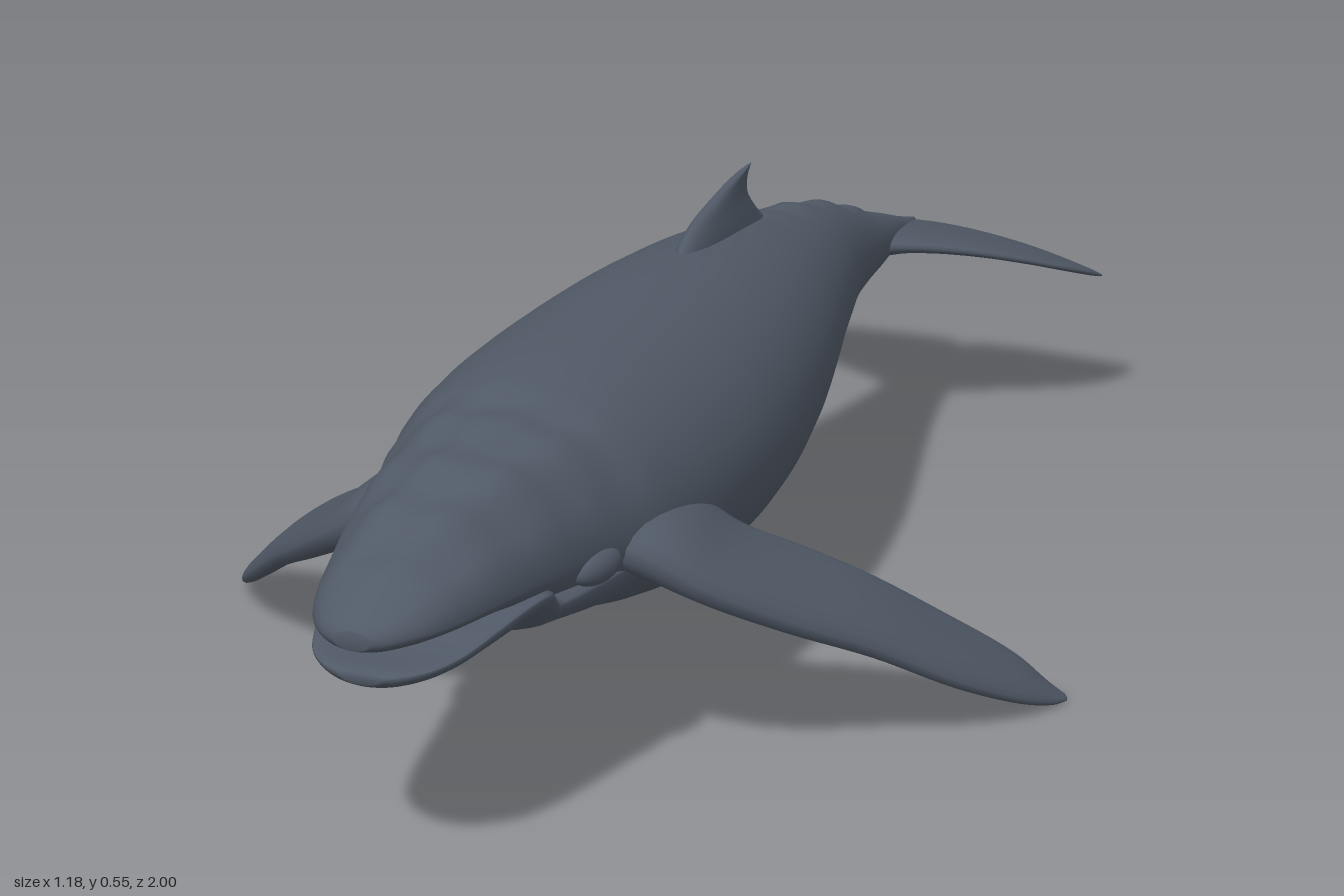
import * as THREE from 'three';

const V = (x, y, z) => new THREE.Vector3(x, y, z);

// Smooth closed skin through a list of equal-sized rings, with both ends capped.
function loft(rings, steps, warp) {
  const n = rings[0].length, pos = [], idx = [];
  const columns = rings[0].map((_, j) => new THREE.CatmullRomCurve3(rings.map(r => r[j])));
  for (let i = 0; i <= steps; i++) {
    for (const c of columns) {
      const p = c.getPoint(i / steps);
      if (warp) warp(p);
      pos.push(p.x, p.y, p.z);
    }
  }
  for (let i = 0; i < steps; i++) {
    for (let j = 0; j < n; j++) {
      const a = i * n + j, b = i * n + (j + 1) % n;
      idx.push(a, b, a + n, b, b + n, a + n);
    }
  }
  for (const end of [0, steps]) {
    const c = V(0, 0, 0), at = pos.length / 3;
    for (let j = 0; j < n; j++) c.add(V(...pos.slice((end * n + j) * 3, (end * n + j) * 3 + 3)));
    c.divideScalar(n);
    pos.push(c.x, c.y, c.z);
    for (let j = 0; j < n; j++) {
      const a = end * n + j, b = end * n + (j + 1) % n;
      idx.push(...(end ? [a, b, at] : [b, a, at]));
    }
  }
  // Turn the skin outward when its signed volume is negative.
  const at = i => V(pos[i * 3], pos[i * 3 + 1], pos[i * 3 + 2]);
  let volume = 0;
  for (let i = 0; i < idx.length; i += 3) volume += at(idx[i]).dot(at(idx[i + 1]).cross(at(idx[i + 2])));
  if (volume < 0) idx.reverse();
  const g = new THREE.BufferGeometry();
  g.setAttribute('position', new THREE.Float32BufferAttribute(pos, 3));
  g.setIndex(idx);
  g.computeVertexNormals();
  return g;
}

// Egg-shaped ring across the body: widest at height mid.
function hullRing([z, top, bottom, w, mid], n = 40) {
  return Array.from({ length: n }, (_, j) => {
    const a = j / n * Math.PI * 2, s = Math.sin(a);
    return V(w * Math.cos(a), mid + s * (s > 0 ? top - mid : mid - bottom), z);
  });
}

// Foil section from leading to trailing edge, thickened along up.
function foilRing(lead, trail, thick, up, n = 20) {
  return Array.from({ length: n }, (_, j) => {
    const a = j / n * Math.PI * 2, u = (1 - Math.cos(a)) / 2;
    const t = Math.sin(a) * thick / 2 * (1.25 - 0.6 * u);
    return lead.clone().lerp(trail, u).addScaledVector(up, t);
  });
}

export function createModel() {
  const whale = new THREE.Group();
  whale.name = 'whale';
  const skin = new THREE.MeshStandardMaterial({ color: 0x505966 });
  skin.name = 'slate grey skin';
  const add = (name, geometry) => {
    const m = new THREE.Mesh(geometry, skin);
    m.name = name;
    whale.add(m);
    return m;
  };

  // Body with upper jaw: z, top, bottom, half width, height of widest point
  const body = [
    [1.0, 0.345, 0.322, 0.022, 0.333], [0.985, 0.358, 0.316, 0.048, 0.335],
    [0.95, 0.378, 0.312, 0.074, 0.335], [0.9, 0.402, 0.308, 0.094, 0.335],
    [0.8, 0.44, 0.295, 0.118, 0.335], [0.7, 0.465, 0.255, 0.139, 0.335],
    [0.6, 0.483, 0.218, 0.16, 0.33], [0.5, 0.499, 0.188, 0.188, 0.325],
    [0.4, 0.505, 0.16, 0.204, 0.32], [0.3, 0.506, 0.14, 0.211, 0.315],
    [0.2, 0.506, 0.13, 0.211, 0.315], [0.1, 0.505, 0.127, 0.204, 0.315],
    [0, 0.502, 0.132, 0.192, 0.32], [-0.1, 0.495, 0.153, 0.176, 0.325],
    [-0.2, 0.484, 0.19, 0.155, 0.33], [-0.3, 0.468, 0.222, 0.13, 0.335],
    [-0.4, 0.452, 0.24, 0.105, 0.335], [-0.5, 0.43, 0.253, 0.081, 0.335],
    [-0.6, 0.398, 0.26, 0.063, 0.325], [-0.7, 0.36, 0.266, 0.049, 0.31],
    [-0.8, 0.326, 0.27, 0.032, 0.297], [-0.88, 0.298, 0.268, 0.018, 0.283],
    [-0.94, 0.28, 0.268, 0.005, 0.274]];
  add('body', loft(body.map(s => hullRing(s)), 130, p => {
    // Knobbly crown, and low knuckles along the tail ridge
    const { x, y, z } = p;
    const up = THREE.MathUtils.smoothstep(y, 0.34, 0.42);
    const head = THREE.MathUtils.smoothstep(z, 0.5, 0.58) * (1 - THREE.MathUtils.smoothstep(z, 0.88, 0.97));
    p.y += up * head * 0.004 * (Math.sin(z * 62 + 14 * Math.abs(x)) + Math.sin(x * 75 + z * 21));
    if (z < -0.3 && z > -0.68 && Math.abs(x) < 0.02 && y > 0.34) p.y += 0.004 * Math.sin(z * 55);
  }));

  // Lower jaw, parted from the upper jaw at the front
  const jaw = [
    [0.98, 0.286, 0.272, 0.025, 0.28], [0.965, 0.289, 0.264, 0.055, 0.28],
    [0.94, 0.289, 0.259, 0.08, 0.28], [0.9, 0.291, 0.255, 0.098, 0.281],
    [0.84, 0.302, 0.254, 0.115, 0.288], [0.77, 0.31, 0.252, 0.13, 0.293],
    [0.7, 0.31, 0.241, 0.142, 0.29], [0.6, 0.31, 0.216, 0.156, 0.285],
    [0.5, 0.31, 0.195, 0.165, 0.28]];
  add('lowerJaw', loft(jaw.map(s => hullRing(s)), 40, p => {
    // Lips curl upward at the sides
    if (p.z > 0.72) p.y += 1.1 * p.x * p.x;
  }));

  // Dorsal fin: height, front z, back z, thickness
  const dorsal = [
    [0.44, 0.03, -0.35, 0.055], [0.495, 0, -0.275, 0.042], [0.522, -0.045, -0.25, 0.028],
    [0.54, -0.12, -0.252, 0.017], [0.551, -0.2, -0.262, 0.01], [0.554, -0.245, -0.267, 0.004]];
  add('dorsalFin', loft(dorsal.map(([y, f, b, t]) => foilRing(V(0, y, f), V(0, y, b), t, V(1, 0, 0))), 24));

  // Tail flukes: half span, leading z, trailing z, thickness
  const fluke = [
    [0, -0.62, -0.947, 0.04], [0.025, -0.67, -0.968, 0.036], [0.055, -0.705, -0.974, 0.031],
    [0.1, -0.738, -0.979, 0.026], [0.16, -0.782, -0.985, 0.021], [0.21, -0.827, -0.992, 0.017],
    [0.25, -0.88, -0.998, 0.013], [0.274, -0.94, -1, 0.009], [0.282, -0.978, -0.994, 0.004]];
  const flukeY = (x, z) => 0.308 - 0.6 * (z + 0.7) ** 2 - 0.05 * (x / 0.28) ** 2;
  const flukeRing = (side, [x, f, b, t]) =>
    foilRing(V(side * x, flukeY(x, f), f), V(side * x, flukeY(x, b), b), t, V(0, 1, 0));
  add('tailFlukes', loft([
    ...fluke.slice(1).reverse().map(s => flukeRing(-1, s)),
    ...fluke.map(s => flukeRing(1, s))], 80));

  // Flippers: leading edge point, trailing edge point, thickness
  const flipper = [
    [[0.12, 0.315, 0.58], [0.13, 0.325, 0.36], 0.09],
    [[0.19, 0.293, 0.572], [0.185, 0.312, 0.37], 0.08],
    [[0.255, 0.255, 0.545], [0.23, 0.28, 0.35], 0.062],
    [[0.335, 0.2, 0.472], [0.29, 0.248, 0.312], 0.05],
    [[0.42, 0.14, 0.375], [0.36, 0.205, 0.265], 0.042],
    [[0.5, 0.075, 0.285], [0.44, 0.137, 0.195], 0.034],
    [[0.558, 0.027, 0.195], [0.52, 0.065, 0.128], 0.024],
    [[0.582, 0.008, 0.14], [0.56, 0.022, 0.105], 0.014],
    [[0.589, 0.004, 0.115], [0.58, 0.007, 0.1], 0.005]];
  for (const [name, side] of [['left', 1], ['right', -1]]) {
    const point = ([x, y, z]) => V(side * x, y, z);
    const up = V(side * 0.5, 0.8, 0.2).normalize();
    add(name + 'Flipper', loft(flipper.map(([l, t, h]) => foilRing(point(l), point(t), h, up)), 48));
    // Brow swelling around the eye, at the corner of the mouth
    const brow = add(name + 'EyeBulge', new THREE.SphereGeometry(1, 20, 14));
    brow.scale.set(0.02, 0.022, 0.045);
    brow.position.set(side * 0.148, 0.312, 0.625);
    brow.rotation.y = -side * 0.22;
  }
  return whale;
}
